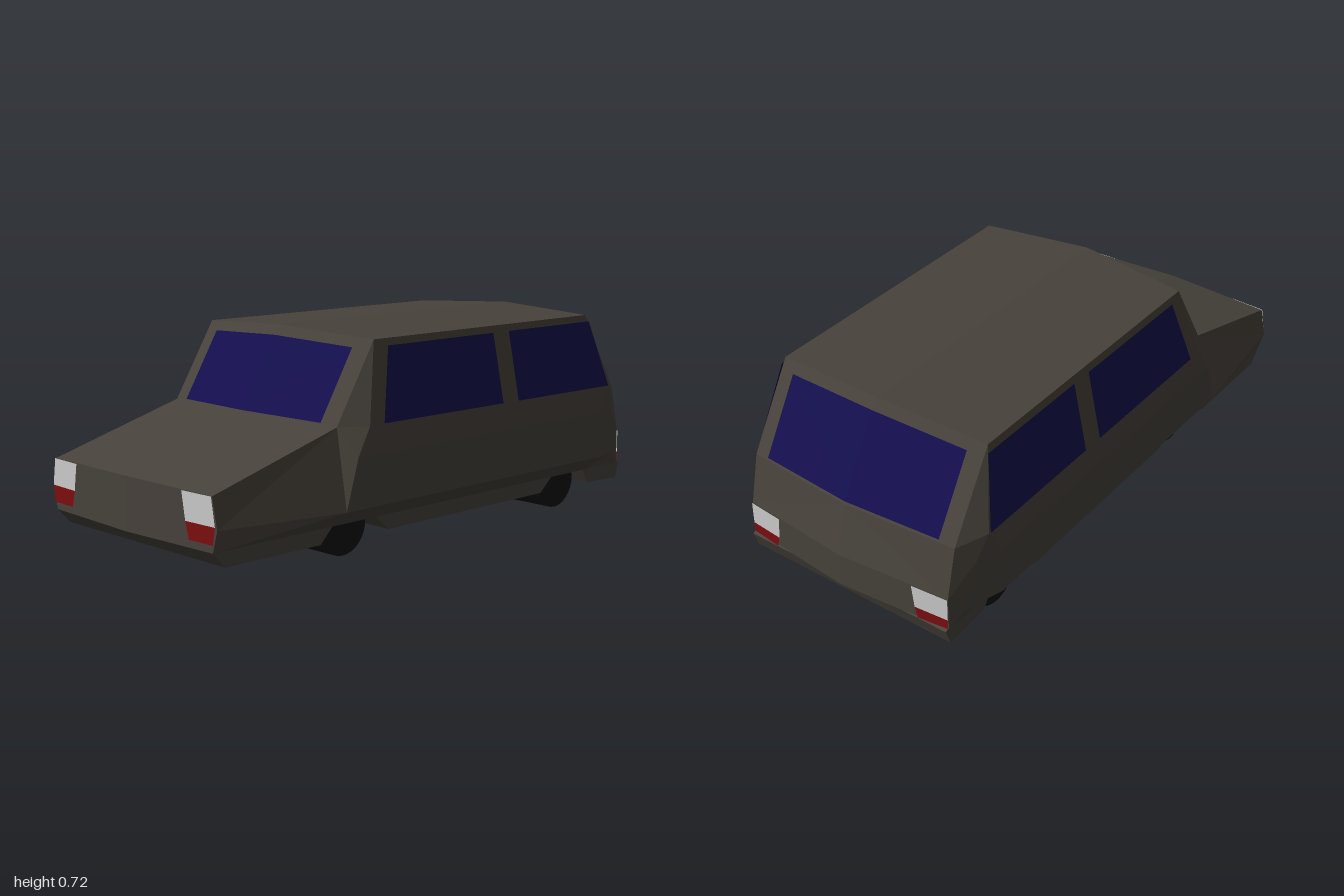
import * as THREE from 'three';

const paint = (color) => new THREE.MeshStandardMaterial({ color, flatShading: true, side: THREE.DoubleSide });

// Corner points of the left half; capitals lie on the centre line
const P = {
  N1: [0, .13, .995], N3: [0, .305, .995], H: [0, .445, .52], R: [0, .72, .36],
  B5: [0, .72, -.78], Q: [0, .42, -.955], Q1: [0, .25, -1], Q2: [0, .13, -1],
  n1: [.4, .13, .975], n2: [.42, .2, .974], n3: [.4, .3, .975], h: [.4, .44, .48], r: [.4, .7, .32],
  b5: [.4, .7, -.755], q: [.4, .42, -.925], q1: [.4, .25, -.965], q2: [.4, .13, -.965],
  s1: [.4, .13, .5], s2: [.4, .13, -.78],
  a2: [.465, .185, .5], a3: [.465, .35, .45], a4: [.455, .44, .39],
  c2: [.465, .185, -.78], c3: [.463, .35, -.78],
  b2: [.425, .185, -.91], b3: [.437, .35, -.87], b4: [.455, .44, -.83],
};

// Mesh from polygons on the left half, fanned into triangles and mirrored
function mirrored(name, polygons, material) {
  const pos = [];
  for (const poly of polygons) {
    for (let i = 1; i < poly.length - 1; i++) {
      const [a, b, c] = [poly[0], poly[i], poly[i + 1]];
      pos.push(...a, ...b, ...c);
      for (const [x, y, z] of [a, c, b]) pos.push(-x, y, z);
    }
  }
  const g = new THREE.BufferGeometry();
  g.setAttribute('position', new THREE.Float32BufferAttribute(pos, 3));
  g.computeVertexNormals();
  const mesh = new THREE.Mesh(g, material);
  mesh.name = name;
  return mesh;
}

const panels = (text) => text.split(',').map((s) => s.trim().split(' ').map((k) => P[k]));

// Pane inset into a four-cornered panel, from the centre line out to u
function pane(names, u, v0, v1, dy, dz) {
  const [A, B, C, D] = names.split(' ').map((k) => new THREE.Vector3(...P[k]));
  const at = (s, t) => {
    const p = A.clone().lerp(B, s).lerp(D.clone().lerp(C, s), t);
    return [p.x, p.y + dy, p.z + dz];
  };
  return [at(0, v0), at(u, v0), at(u, v1), at(0, v1)];
}

export function createModel() {
  const car = new THREE.Group();
  const body = paint(0x47423b), glass = paint(0x140f4e), white = paint(0xcccccc);
  const red = paint(0x7e0d10), rubber = paint(0x111111);

  // Body shell
  car.add(mirrored('nose', panels('N1 n1 n2 n3 N3'), body));
  car.add(mirrored('hood', panels('N3 n3 h H'), body));
  car.add(mirrored('windshieldFrame', panels('H h r R, h a4 r'), body));
  car.add(mirrored('roof', panels('R r b5 B5'), body));
  car.add(mirrored('tailgate', panels('B5 b5 q Q, Q q q1 Q1, Q1 q1 q2 Q2'), body));
  car.add(mirrored('frontFenders', panels('n2 a2 h n3, a2 a3 h, h a3 a4'), body));
  car.add(mirrored('sides', panels('a2 c2 c3 a3, a3 c3 b4 a4, a4 b4 b5 r'), body));
  car.add(mirrored('rearCorners', panels('c2 b2 b3 c3, c3 b3 b4, b2 q2 q1 b3, b3 q1 q b4, b4 q b5'), body));
  car.add(mirrored('sills', panels('n1 s1 a2 n2, s1 s2 c2 a2, s2 q2 b2 c2'), body));

  // Underside with wheel channels cut across it
  const outline = [[.95, .15], [.975, .13], [.93, .08], [.55, .08], [.5, .13], [.31, .13], [.25, .08],
    [-.52, .08], [-.58, .13], [-.76, .13], [-.79, .08], [-.96, .073], [-.98, .13], [-.94, .15]];
  const floorGeo = new THREE.ExtrudeGeometry(
    new THREE.Shape(outline.map(([z, y]) => new THREE.Vector2(z, y))), { depth: .8, bevelEnabled: false });
  floorGeo.rotateY(-Math.PI / 2).translate(.4, 0, 0);
  const floor = new THREE.Mesh(floorGeo, body);
  floor.name = 'underside';
  car.add(floor);

  // Windows
  car.add(mirrored('windshield', [pane('H h r R', .84, .015, .87, .003, .005)], glass));
  car.add(mirrored('rearWindow', [pane('Q q b5 B5', .86, .03, .88, .003, -.005)], glass));
  const side = (z, y) => [.459 - .055 * (y - .44) / .26, y, z];
  const sidePane = (f0, r0, f1, r1) => [side(f0, .442), side(r0, .442), side(r1, .677), side(f1, .677)];
  car.add(mirrored('frontSideWindows', [sidePane(.33, -.24, .265, -.24)], glass));
  car.add(mirrored('rearSideWindows', [sidePane(-.32, -.825, -.32, -.765)], glass));

  // Lamps, laid on the bowed nose and tail
  const front = (pts) => pts.map(([x, y]) => [x, y, .999 - .05 * x]);
  const rear = (pts) => pts.map(([x, y]) => [x, y, -1.004 + .0875 * x]).reverse();
  car.add(mirrored('headlights', [front([[.285, .21], [.415, .21], [.4, .3], [.27, .3]])], white));
  car.add(mirrored('frontMarkers', [front([[.3, .155], [.405, .155], [.415, .21], [.285, .21]])], red));
  car.add(mirrored('reverseLights', [rear([[.28, .17], [.4, .17], [.4, .25], [.27, .25]])], white));
  car.add(mirrored('tailLights', [rear([[.29, .13], [.4, .13], [.4, .17], [.28, .17]])], red));

  // Full-width wheel rollers
  const roller = new THREE.CylinderGeometry(.1, .1, .705, 32).rotateZ(Math.PI / 2);
  const tyre = rubber.clone();
  tyre.flatShading = false;
  for (const [name, y, z] of [['frontWheels', .112, .41], ['rearWheels', .1, -.66]]) {
    const wheel = new THREE.Mesh(roller, tyre);
    wheel.name = name;
    wheel.position.set(0, y, z);
    car.add(wheel);
  }
  return car;
}
